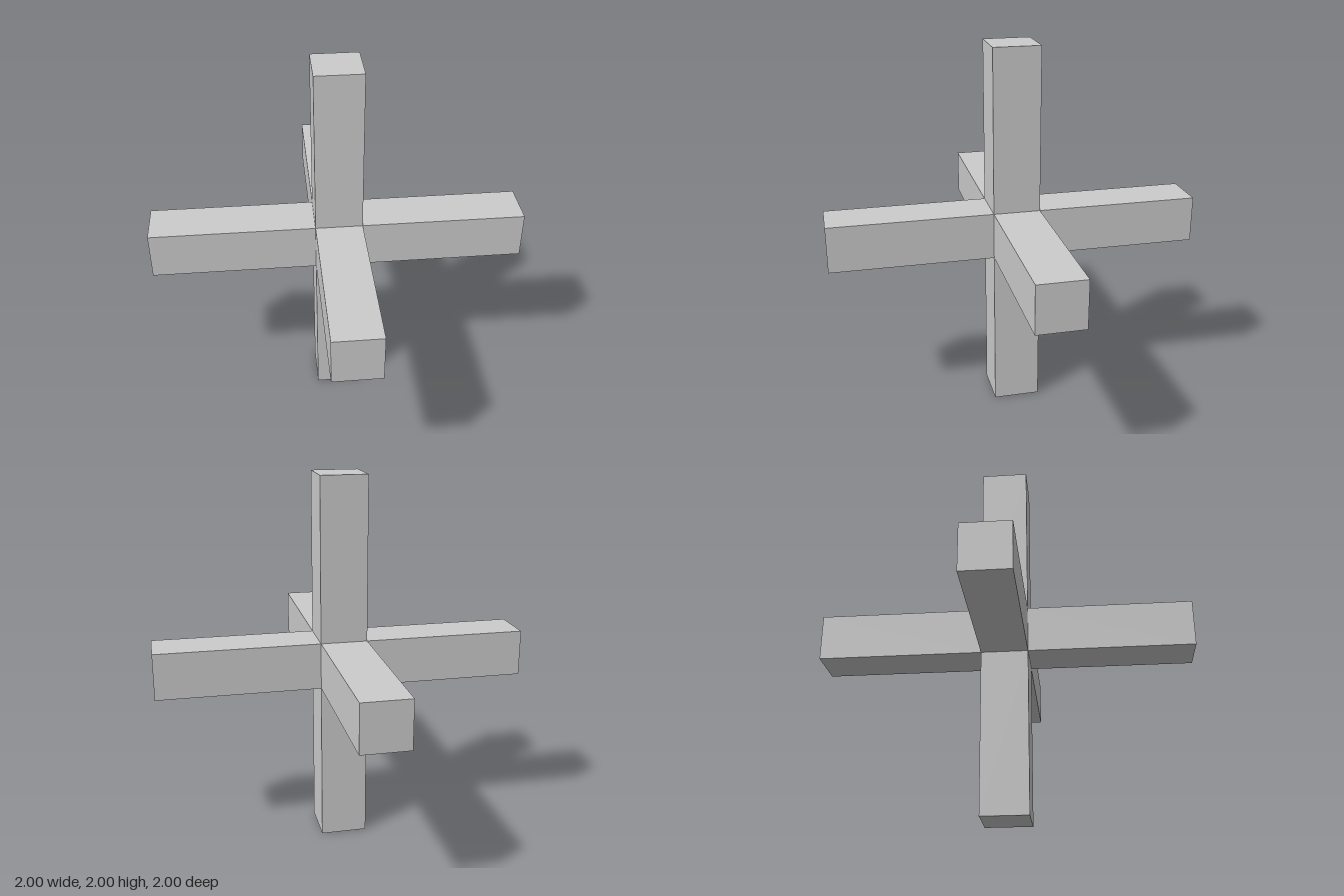
import * as THREE from 'three';

const WIDTH = 0.25;               // square section of every arm
const REACH = 1;                  // centre to arm tip
const LENGTH = REACH - WIDTH / 2; // arm starts at the side of the central cube

// Square arm pointing up from the central cube, without its hidden inner cap
function armGeometry() {
  const geo = new THREE.BoxGeometry(WIDTH, LENGTH, WIDTH);
  const index = Array.from(geo.index.array);
  index.splice(18, 6); // bottom face
  geo.setIndex(index);
  geo.clearGroups();
  geo.translate(0, WIDTH / 2 + LENGTH / 2, 0);
  return geo;
}

export function createModel() {
  const model = new THREE.Group();
  model.name = 'sixArmedCross';
  const material = new THREE.MeshStandardMaterial({ color: 0xcccccc, flatShading: true });
  const geometry = armGeometry();

  // One arm along each half axis: name, rotation about x, rotation about z
  const arms = [
    ['topArm', 0, 0],
    ['bottomArm', Math.PI, 0],
    ['frontArm', Math.PI / 2, 0],
    ['backArm', -Math.PI / 2, 0],
    ['leftArm', 0, -Math.PI / 2],
    ['rightArm', 0, Math.PI / 2],
  ];
  for (const [name, rx, rz] of arms) {
    const arm = new THREE.Mesh(geometry, material);
    arm.name = name;
    arm.rotation.set(rx, 0, rz);
    arm.position.y = REACH;
    model.add(arm);
  }
  return model;
}
